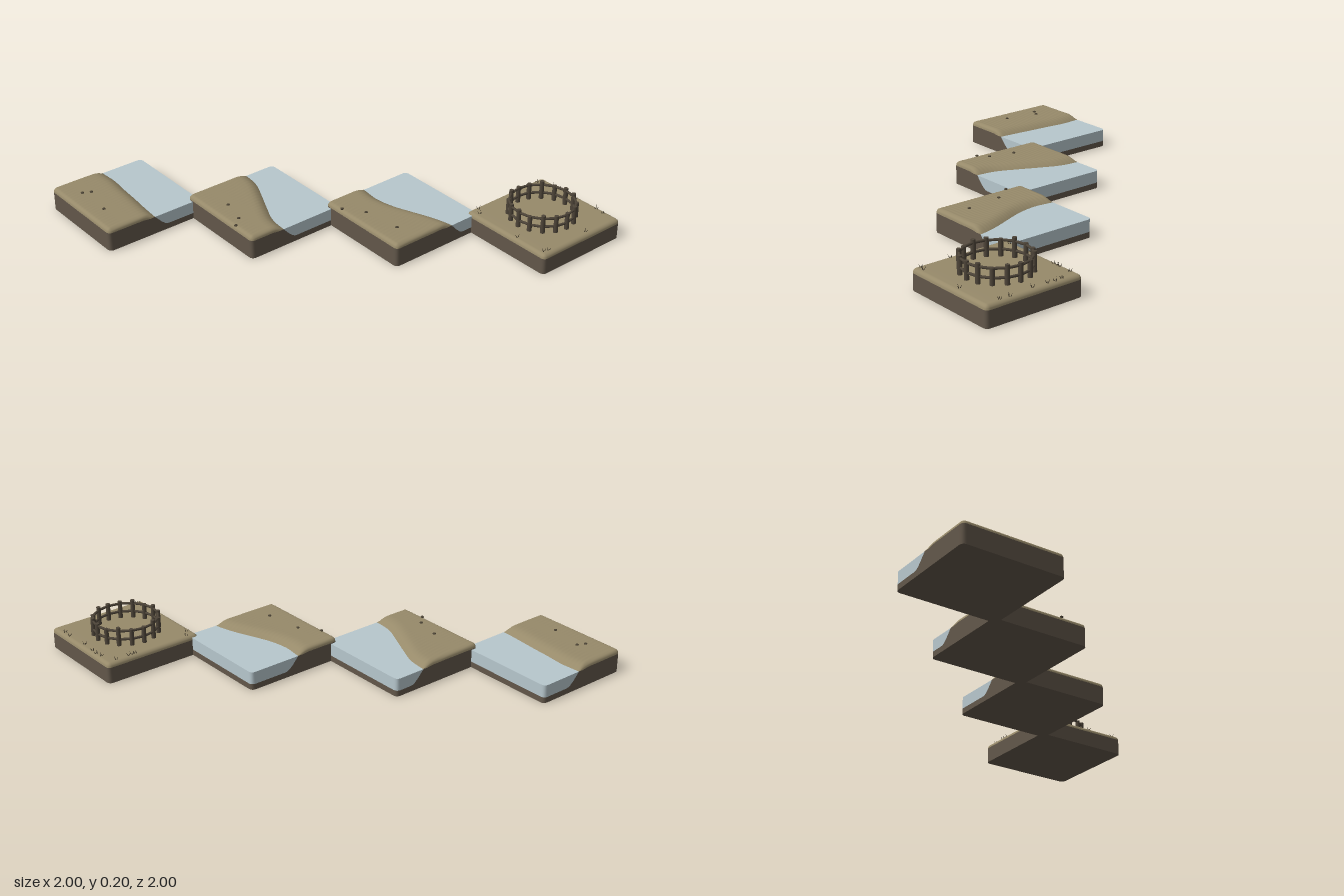
import * as THREE from 'three';

const HALF = 0.265, ROUND = 0.022, WATER_Y = 0.094;
const EDGE = [0, 0.0015, 0.004, 0.008, 0.014, 0.022];
// Bank cross-section: offset from the waterline, height
const BANK = [[-0.065, 0.12], [-0.045, 0.1175], [-0.025, 0.111], [0, 0.095], [0.015, 0.078],
  [0.035, 0.056], [0.055, 0.039], [0.068, 0.032], [0.082, 0.03]];

const mat = (name, color, side = THREE.FrontSide) => {
  const m = new THREE.MeshStandardMaterial({ color, side });
  m.name = name;
  return m;
};

function bankHeight(d) {
  if (d <= BANK[0][0]) return BANK[0][1];
  for (let i = 1; i < BANK.length; i++) {
    const [d0, y0] = BANK[i - 1], [d1, y1] = BANK[i];
    if (d <= d1) return y0 + (y1 - y0) * (d - d0) / (d1 - d0);
  }
  return 0.03;
}

// Evenly spaced values from a to b, both ends included
const span = (a, b, n) => Array.from({ length: n + 1 }, (_, i) => a + (b - a) * i / n);

// Pull the corners of the square plan into quarter circles
function roundCorner(x, z) {
  const c = HALF - ROUND, dx = Math.abs(x) - c, dz = Math.abs(z) - c;
  if (dx <= 0 || dz <= 0) return [x, z];
  const k = Math.max(dx, dz) / Math.hypot(dx, dz);
  return [Math.sign(x) * (c + dx * k), Math.sign(z) * (c + dz * k)];
}

// Solid block over a grid: top surface in group 0, walls and underside in group 1
function block(zs, xsAt, top, bottom) {
  const pos = [], low = [], idx = [];
  const nz = zs.length, nx = xsAt(zs[0]).length;
  for (const z of zs) for (const x of xsAt(z)) {
    const [px, pz] = roundCorner(x, z);
    const y = top(x, z);
    pos.push(px, y, pz);
    low.push(Math.min(y, bottom(x, z)));
  }
  for (let j = 0; j < nz - 1; j++) for (let i = 0; i < nx - 1; i++) {
    const a = j * nx + i, b = a + 1, c = a + nx, d = c + 1;
    idx.push(a, c, b, b, c, d);
  }
  const topCount = idx.length;
  // Outline of the grid
  const loop = [];
  for (let i = 0; i < nx - 1; i++) loop.push(i);
  for (let j = 0; j < nz - 1; j++) loop.push(j * nx + nx - 1);
  for (let i = nx - 1; i > 0; i--) loop.push((nz - 1) * nx + i);
  for (let j = nz - 1; j > 0; j--) loop.push(j * nx);
  const n = loop.length, base = pos.length / 3;
  const ring = (useLow) => loop.forEach((v) =>
    pos.push(pos[3 * v], useLow ? low[v] : pos[3 * v + 1], pos[3 * v + 2]));
  ring(false); ring(true); ring(true);
  const centre = pos.length / 3;
  pos.push((xsAt(0)[0] + HALF) / 2, bottom(HALF, 0), 0);
  for (let i = 0; i < n; i++) {
    const k = (i + 1) % n, a = base + i, b = base + k;
    idx.push(a, b, a + n, b, b + n, a + n);
    idx.push(centre, a + 2 * n, b + 2 * n);
  }
  const g = new THREE.BufferGeometry();
  g.setAttribute('position', new THREE.Float32BufferAttribute(pos, 3));
  g.setIndex(idx);
  g.addGroup(0, topCount, 0);
  g.addGroup(topCount, idx.length - topCount, 1);
  g.computeVertexNormals();
  return g;
}

// How far the rounded rim sinks at a point of the plan
function rimDrop(x, z) {
  const e = HALF - Math.max(Math.abs(x), Math.abs(z));
  if (e >= ROUND) return 0;
  return ROUND - Math.sqrt(Math.max(0, ROUND * ROUND - (ROUND - e) ** 2));
}

export function createModel() {
  const model = new THREE.Group();
  const sand = mat('sand', 0x978a6a), earth = mat('earth', 0x62574a);
  const water = mat('water', 0xb7c7cd, THREE.DoubleSide);
  const wood = mat('dark wood', 0x4e4539), scrub = mat('dark scrub', 0x4a4234);

  const add = (parent, name, geo, material, x = 0, y = 0, z = 0) => {
    const m = new THREE.Mesh(geo, material);
    m.name = name;
    m.position.set(x, y, z);
    parent.add(m);
    return m;
  };
  const edgeLow = EDGE.map((e) => -HALF + e), edgeHigh = EDGE.map((e) => HALF - e).reverse();
  const inner = HALF - ROUND;
  const axis = (n) => [...edgeLow, ...span(-inner, inner, n).slice(1, -1), ...edgeHigh];

  // Three shore tiles: waterline offsets from back to front, and pebble spots
  const shores = [
    { c: -0.735, line: [0.03, 0.035, 0.025, 0.017, 0.007, 0],
      pebbles: [[-0.91, -0.855], [-0.87, -0.835], [-0.91, -0.655]] },
    { c: -0.245, line: [0.095, 0.08, 0.035, -0.015, -0.06, -0.073],
      pebbles: [[-0.415, -0.3], [-0.45, -0.165], [-0.5, -0.12]] },
    { c: 0.245, line: [-0.02, -0.03, -0.013, 0.025, 0.065, 0.09],
      pebbles: [[-0.005, 0.085], [0.065, 0.185], [0.09, 0.385]] },
  ];
  const pebbleGeo = new THREE.SphereGeometry(0.009, 8, 6);
  for (const { c, line, pebbles } of shores) {
    const tile = new THREE.Group();
    tile.name = 'shoreTile';
    tile.position.set(c, 0, c);
    model.add(tile);
    const curve = new THREE.SplineCurve(line.map((x, i) => new THREE.Vector2(x, i)));
    const shore = (z) => curve.getPoint((z + HALF) / (2 * HALF)).x;
    const ground = (x, z) => {
      const h = bankHeight(x - shore(z));
      const dry = THREE.MathUtils.clamp((h - 0.095) / 0.02, 0, 1);
      const ripple = 0.0005 * Math.sin((z + 0.12 * x + 0.006 * Math.sin(x * 22)) * 290);
      return h + dry * (ripple - rimDrop(x, z));
    };
    const landXs = (z) => {
      const s = shore(z);
      return [...edgeLow, ...span(-inner, s - 0.065, 8).slice(1, -1),
        ...BANK.map(([d]) => s + d), ...edgeHigh];
    };
    const waterXs = (z) => {
      const s = shore(z);
      return [...BANK.slice(3).map(([d]) => s + d), ...edgeHigh];
    };
    add(tile, 'land', block(axis(100), landXs, ground, () => 0), [sand, earth]);
    add(tile, 'water', block(axis(40), waterXs, () => WATER_Y, ground), [water, water]);
    for (const [x, z] of pebbles) {
      add(tile, 'pebble', pebbleGeo, scrub, x - c, 0.121, z - c).scale.y = 0.6;
    }
  }

  // Flat yard tile
  const yard = new THREE.Group();
  yard.name = 'yardTile';
  yard.position.set(0.735, 0, 0.735);
  model.add(yard);
  const YARD_Y = 0.105;
  const yardXs = axis(8);
  add(yard, 'land', block(axis(8), () => yardXs, (x, z) => YARD_Y - rimDrop(x, z), () => 0), [sand, earth]);

  // Round paddock fence: 16 posts joined by two rails
  const fence = new THREE.Group();
  fence.name = 'fence';
  fence.position.set(-0.005, 0, -0.005);
  yard.add(fence);
  const POSTS = 16, R = 0.164, step = 2 * Math.PI / POSTS;
  const railGeo = new THREE.CylinderGeometry(0.0065, 0.0065, 2 * R * Math.sin(step / 2) + 0.004, 6);
  railGeo.rotateZ(Math.PI / 2);
  for (let i = 0; i < POSTS; i++) {
    const a = i * step, h = 0.092 + 0.008 * Math.sin(i * 2.3);
    add(fence, 'post', new THREE.CylinderGeometry(0.011, 0.012, h, 8), wood,
      R * Math.sin(a), YARD_Y - 0.003 + h / 2, R * Math.cos(a));
    const b = a + step / 2, r = R * Math.cos(step / 2);
    for (const y of [0.138, 0.182]) {
      add(fence, 'rail', railGeo, wood, r * Math.sin(b), y, r * Math.cos(b)).rotation.y = b;
    }
  }

  // Small dry tufts around the rim
  const tufts = [[0.505, 0.53], [0.53, 0.495], [0.83, 0.492], [0.85, 0.49], [0.87, 0.492], [0.94, 0.495],
    [0.975, 0.57], [0.98, 0.61], [0.975, 0.65], [0.97, 0.73], [0.98, 0.86], [0.975, 0.91],
    [0.492, 0.8], [0.5, 0.965], [0.525, 0.972], [0.78, 0.972]];
  const bladeGeo = new THREE.ConeGeometry(0.0028, 0.022, 4).translate(0, 0.011, 0);
  tufts.forEach(([x, z], t) => {
    const tuft = new THREE.Group();
    tuft.name = 'tuft';
    tuft.position.set(x - 0.735, YARD_Y - 0.004, z - 0.735);
    tuft.rotation.y = t * 1.7;
    yard.add(tuft);
    for (let i = 0; i < 3; i++) {
      const a = i * 2.1;
      add(tuft, 'blade', bladeGeo, scrub, 0.003 * Math.sin(a), 0, 0.003 * Math.cos(a))
        .rotation.set(0.45 * Math.cos(a), 0, -0.45 * Math.sin(a));
    }
  });
  return model;
}
